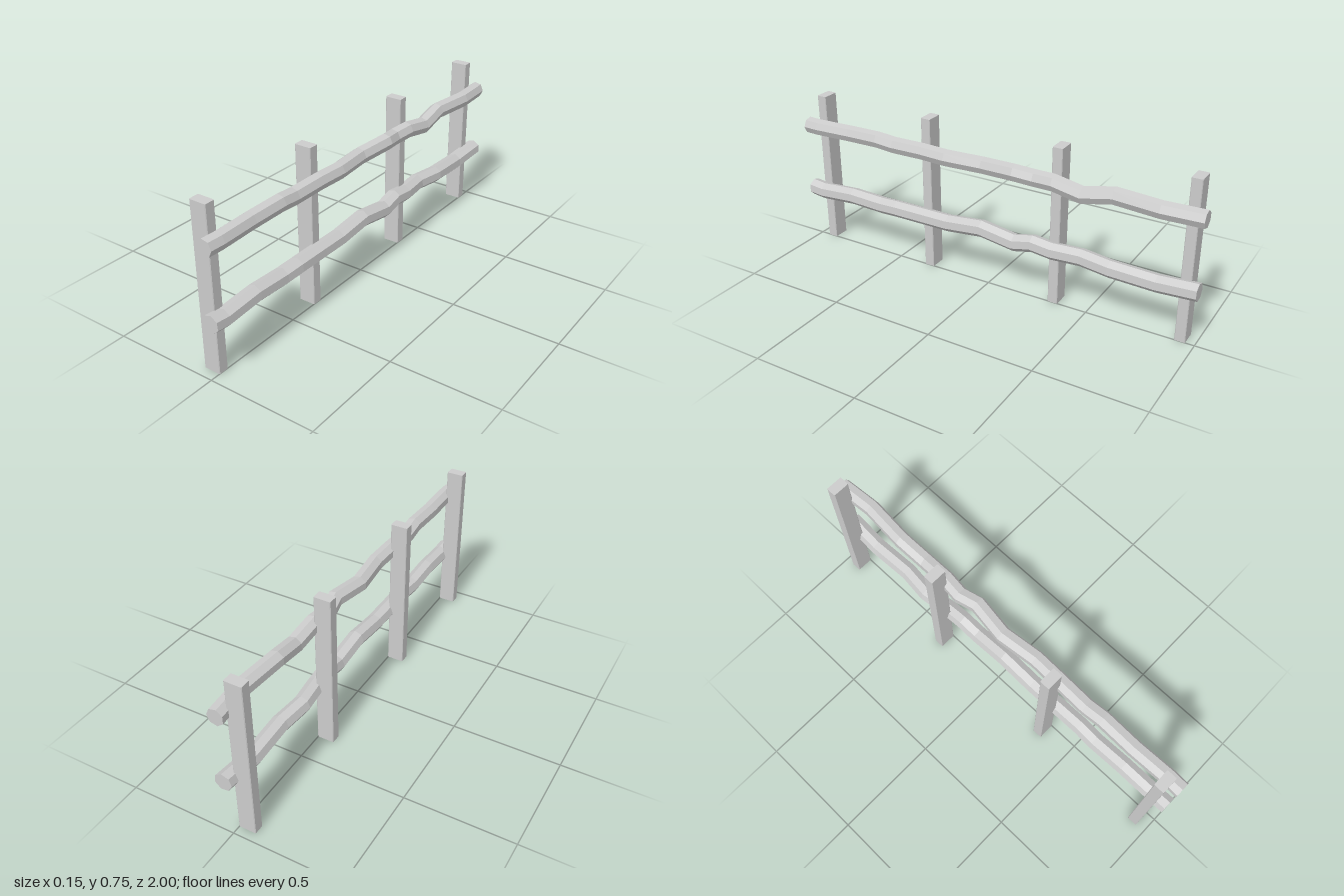
import * as THREE from 'three';

const material = new THREE.MeshStandardMaterial({ color: 0xcccccc, flatShading: true });

// Squared post with slightly chamfered upright edges
function makePost(z) {
  const w = 0.04, d = 0.024, c = 0.003, height = 0.75;
  const outline = [
    [w, -d + c], [w, d - c], [w - c, d], [-w + c, d],
    [-w, d - c], [-w, -d + c], [-w + c, -d], [w - c, -d],
  ].map(([x, y]) => new THREE.Vector2(x, y));
  const geometry = new THREE.ExtrudeGeometry(new THREE.Shape(outline), { depth: height, bevelEnabled: false });
  geometry.rotateX(-Math.PI / 2);
  const post = new THREE.Mesh(geometry, material);
  post.name = 'post';
  post.position.set(-0.038, 0, z);
  return post;
}

// Seven-sided pole whose rings follow a list of [x, y, z] centres, front to back
function makePole(centres, radius, phase) {
  const n = centres.length - 1;
  const geometry = new THREE.CylinderGeometry(radius, radius, n, 7, n, false, phase + Math.PI / 2);
  geometry.rotateX(Math.PI / 2);
  const p = geometry.attributes.position;
  for (let i = 0; i < p.count; i++) {
    const [x, y, z] = centres[Math.round(n / 2 - p.getZ(i))];
    p.setXYZ(i, p.getX(i) + x, p.getY(i) + y, z);
  }
  geometry.computeVertexNormals();
  return new THREE.Mesh(geometry, material);
}

// A rail is two poles butted together at the second post
function makeRail(name, centres, joint, radius, phase) {
  const rail = new THREE.Group();
  rail.name = name;
  const frontPole = makePole(centres.slice(0, joint + 1), radius, phase);
  const backPole = makePole(centres.slice(joint), radius, phase);
  frontPole.name = 'frontPole';
  backPole.name = 'backPole';
  rail.add(frontPole, backPole);
  return rail;
}

export function createModel() {
  const fence = new THREE.Group();
  fence.name = 'fence';

  for (const z of [0.93, 0.33, -0.335, -0.935]) fence.add(makePost(z));

  const upper = [
    [0.023, 0.60, 1], [0.026, 0.60, 0.93], [0.02, 0.602, 0.75], [0.023, 0.606, 0.58],
    [0.018, 0.596, 0.49], [0.022, 0.60, 0.33], [0.026, 0.598, 0.2], [0.007, 0.595, 0.02],
    [0.03, 0.607, -0.15], [0.012, 0.595, -0.24], [0.022, 0.60, -0.335], [0.027, 0.578, -0.47],
    [0.018, 0.605, -0.61], [0.036, 0.602, -0.82], [0.023, 0.60, -1],
  ];
  const lower = [
    [0.023, 0.271, 1], [0.024, 0.264, 0.93], [0.022, 0.276, 0.75], [0.02, 0.268, 0.58],
    [0.024, 0.273, 0.49], [0.022, 0.272, 0.33], [0.022, 0.272, 0.2], [0.022, 0.291, 0.02],
    [0.023, 0.266, -0.15], [0.02, 0.285, -0.24], [0.018, 0.273, -0.335], [0.003, 0.272, -0.47],
    [0.02, 0.266, -0.61], [0.014, 0.256, -0.82], [0.022, 0.272, -1],
  ];
  fence.add(makeRail('upperRail', upper, 5, 0.039, 0));
  fence.add(makeRail('lowerRail', lower, 5, 0.041, Math.PI * 1.03));
  return fence;
}
